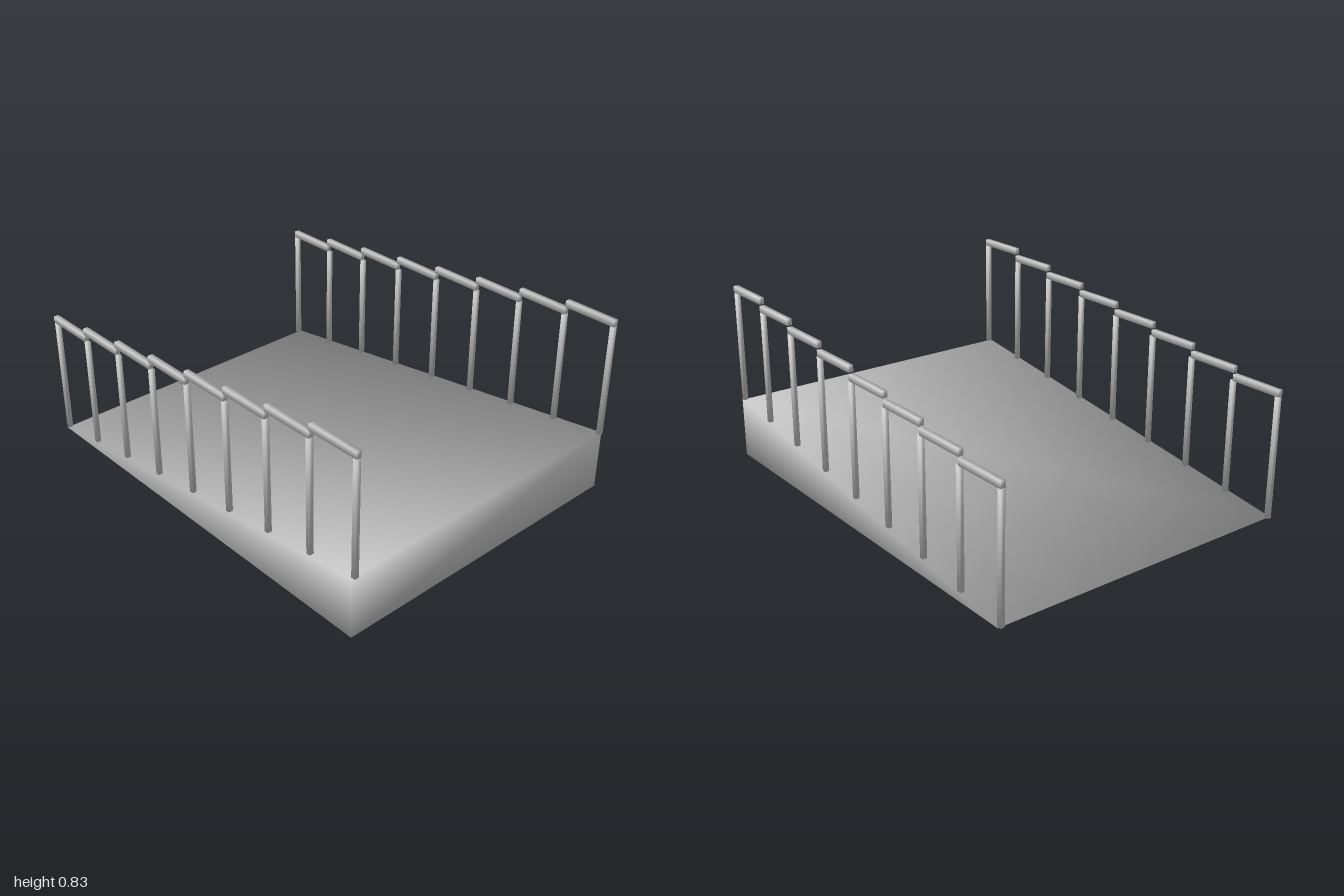
import * as THREE from 'three';

const material = new THREE.MeshStandardMaterial({ color: 0xcccccc });
const HALF_WIDTH = 0.74, HALF_LENGTH = 0.99, RISE = 0.28;
const SPANS = 8;

// Wedge with six shared corners and soft, angle-weighted corner normals
function createRamp() {
  const positions = [], normals = [];
  for (const s of [-1, 1]) {
    positions.push(
      s * HALF_WIDTH, 0, -HALF_LENGTH,
      s * HALF_WIDTH, 0, HALF_LENGTH,
      s * HALF_WIDTH, RISE, HALF_LENGTH);
    normals.push(s * 0.53, -0.06, -0.84, s * 0.58, -0.58, 0.58, s * 0.57, 0.62, 0.54);
  }
  const geometry = new THREE.BufferGeometry();
  geometry.setAttribute('position', new THREE.Float32BufferAttribute(positions, 3));
  geometry.setAttribute('normal', new THREE.Float32BufferAttribute(normals, 3));
  geometry.setIndex([
    0, 1, 2, 3, 5, 4,       // sides
    0, 2, 5, 0, 5, 3,       // slope
    0, 3, 4, 0, 4, 1,       // underside
    1, 4, 5, 1, 5, 2,       // tall end
  ]);
  geometry.normalizeNormals();
  const ramp = new THREE.Mesh(geometry, material);
  ramp.name = 'ramp';
  return ramp;
}

// Box whose normals point out through its corners, for soft shading
function softBar(name, w, h, d, x, y, z) {
  const geometry = new THREE.BoxGeometry(w, h, d);
  const p = geometry.attributes.position, n = geometry.attributes.normal;
  for (let i = 0; i < p.count; i++) {
    n.setXYZ(i, Math.sign(p.getX(i)), Math.sign(p.getY(i)), Math.sign(p.getZ(i)));
  }
  geometry.normalizeNormals();
  const bar = new THREE.Mesh(geometry, material);
  bar.name = name;
  bar.position.set(x, y, z);
  return bar;
}

// Row of posts carrying a stepped handrail
function createRailing(side) {
  const railing = new THREE.Group();
  railing.name = side > 0 ? 'leftRailing' : 'rightRailing';
  const x = side * 0.725;
  const railBottom = (i) => 0.805 - 0.035 * i;
  for (let i = 0; i <= SPANS; i++) {
    const z = HALF_LENGTH - (2 * HALF_LENGTH / SPANS) * i;
    const base = RISE * (1 - i / SPANS);
    const top = railBottom(Math.min(i, SPANS - 1));
    railing.add(softBar('post', 0.02, top - base, 0.02, x, (top + base) / 2, z));
  }
  for (let i = 0; i < SPANS; i++) {
    railing.add(softBar('handrail', 0.024, 0.03, 0.25, x, railBottom(i) + 0.015, 0.875 - 0.25 * i));
  }
  return railing;
}

export function createModel() {
  const model = new THREE.Group();
  model.name = 'rampWithRailings';
  model.add(createRamp(), createRailing(-1), createRailing(1));
  return model;
}
